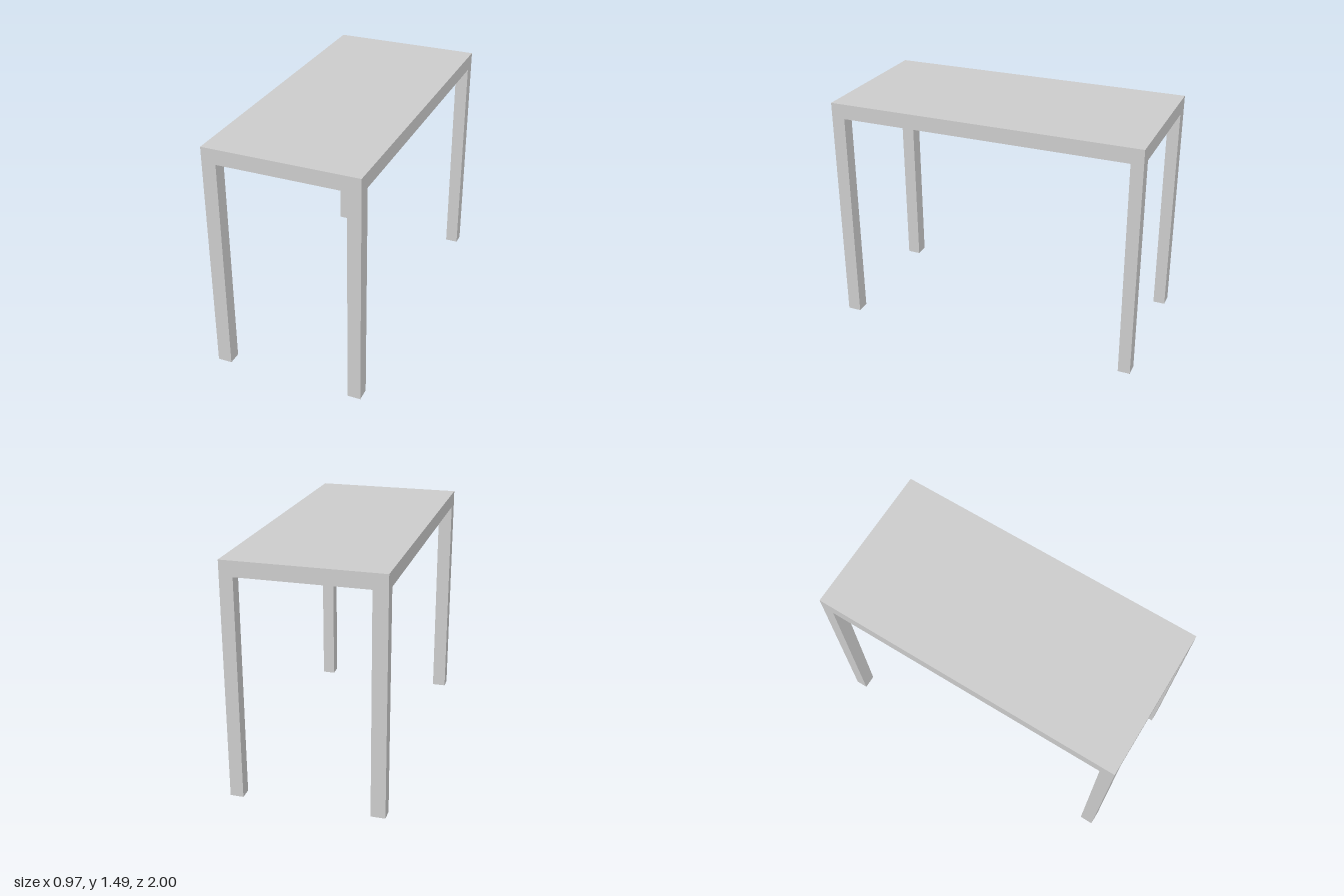
import * as THREE from 'three';

const HALF_X = 0.484, HALF_Z = 1, HEIGHT = 1.493, UNDERSIDE = 1.398;

export function createModel() {
  const table = new THREE.Group();
  table.name = 'table';
  const material = new THREE.MeshStandardMaterial({ color: 0xcccccc, flatShading: true });

  const addBox = (name, w, h, d, x, y, z) => {
    const mesh = new THREE.Mesh(new THREE.BoxGeometry(w, h, d), material);
    mesh.name = name;
    mesh.position.set(x, y, z);
    table.add(mesh);
  };

  // Solid slab top
  const thickness = HEIGHT - UNDERSIDE;
  addBox('tableTop', HALF_X * 2, thickness, HALF_Z * 2, 0, UNDERSIDE + thickness / 2, 0);

  // Four legs flush with the corners; front and right pairs are slightly thicker
  for (const [side, sx, w] of [['Left', 1, 0.083], ['Right', -1, 0.09]]) {
    for (const [end, sz, d] of [['front', 1, 0.086], ['back', -1, 0.077]]) {
      addBox(`${end}${side}Leg`, w, UNDERSIDE, d,
        sx * (HALF_X - w / 2), UNDERSIDE / 2, sz * (HALF_Z - d / 2));
    }
  }
  return table;
}
